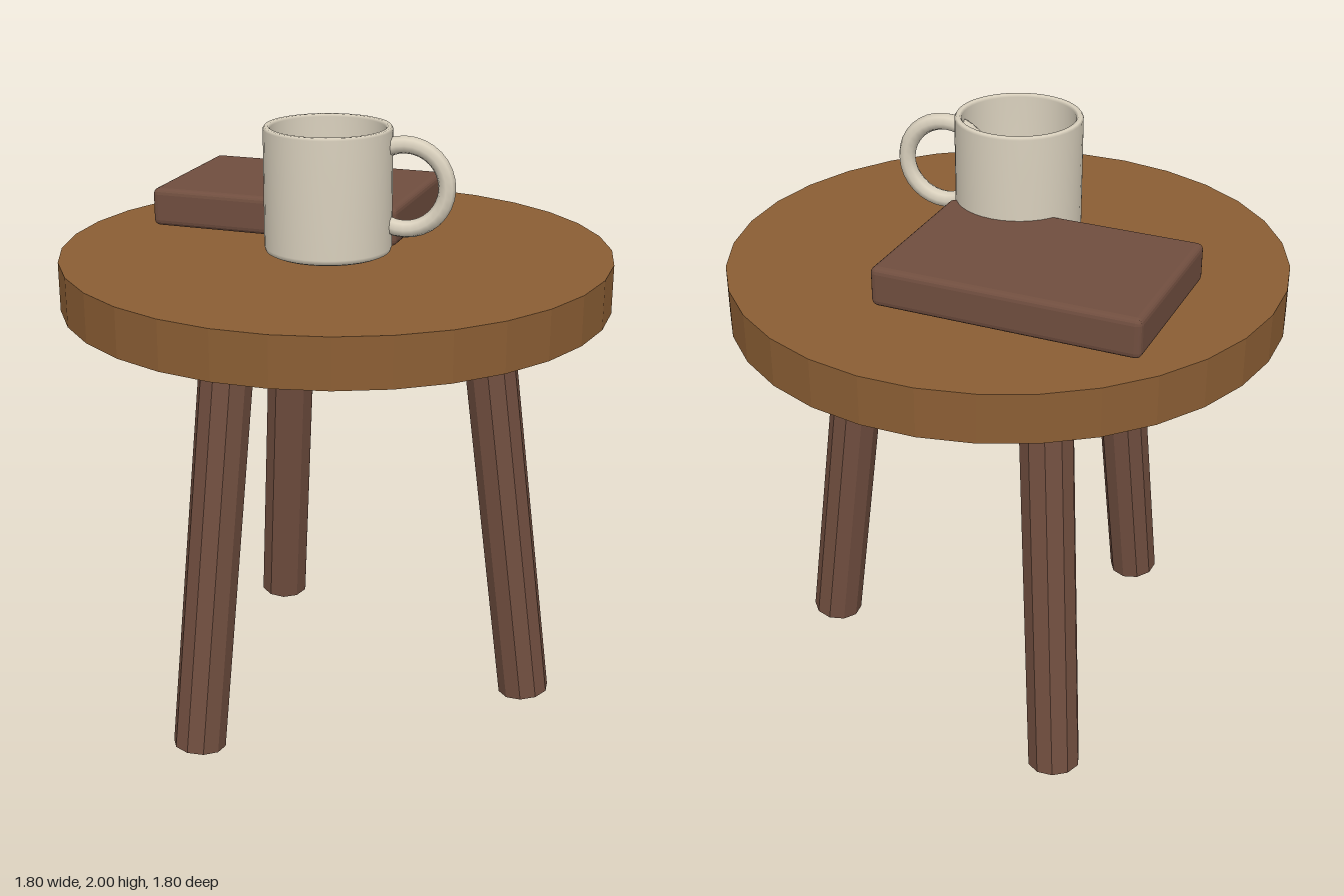
import * as THREE from 'three';
import { RoundedBoxGeometry } from 'three/addons/geometries/RoundedBoxGeometry.js';

export function createModel() {
  const topWood = new THREE.MeshStandardMaterial({ name: 'topWood', color: 0x8b5e34, flatShading: true });
  const darkBrown = new THREE.MeshStandardMaterial({ name: 'darkBrown', color: 0x704e3f, flatShading: true });
  const ceramic = new THREE.MeshStandardMaterial({ name: 'ceramic', color: 0xd9d0bd });

  const model = new THREE.Group();
  model.name = 'sideTable';
  const add = (name, geometry, material, parent = model) => {
    const mesh = new THREE.Mesh(geometry, material);
    mesh.name = name;
    parent.add(mesh);
    return mesh;
  };

  // Faceted round top
  add('tableTop', new THREE.CylinderGeometry(0.9, 0.9, 0.16, 32), topWood).position.y = 1.49;

  // Three splayed ten-sided legs, feet cut square to the leg
  const tilt = 0.128, legRadius = 0.087, legLength = 1.46;
  const legGeometry = new THREE.CylinderGeometry(legRadius, legRadius, legLength, 10);
  legGeometry.translate(0, legLength / 2, 0);
  for (let i = 0; i < 3; i++) {
    const pivot = new THREE.Group();
    pivot.name = 'legPivot' + (i + 1);
    pivot.rotation.y = (i * Math.PI * 2) / 3;
    model.add(pivot);
    const leg = add('leg' + (i + 1), legGeometry, darkBrown, pivot);
    leg.position.set(0.675, legRadius * Math.sin(tilt), 0);
    leg.rotation.z = tilt;
  }

  // Closed book lying at a slight angle
  const book = add('book', new RoundedBoxGeometry(0.855, 0.127, 0.57, 2, 0.02), darkBrown);
  book.position.set(-0.186, 1.662, -0.29);
  book.rotation.y = -0.12;

  // Mug: hollow turned body and ring handle
  const mug = new THREE.Group();
  mug.name = 'mug';
  mug.position.set(0, 1.6, 0.12);
  model.add(mug);
  const profile = [
    [0, 0], [0.187, 0], [0.2, 0.006], [0.204, 0.02], [0.204, 0.392], [0.199, 0.4],
    [0.187, 0.4], [0.181, 0.392], [0.181, 0.06], [0.165, 0.035], [0, 0.03],
  ].map(([r, y]) => new THREE.Vector2(r, y));
  add('mugBody', new THREE.LatheGeometry(profile, 40), ceramic, mug);
  add('mugHandle', new THREE.TorusGeometry(0.134, 0.028, 8, 32), ceramic, mug).position.set(0.245, 0.217, 0);

  return model;
}
